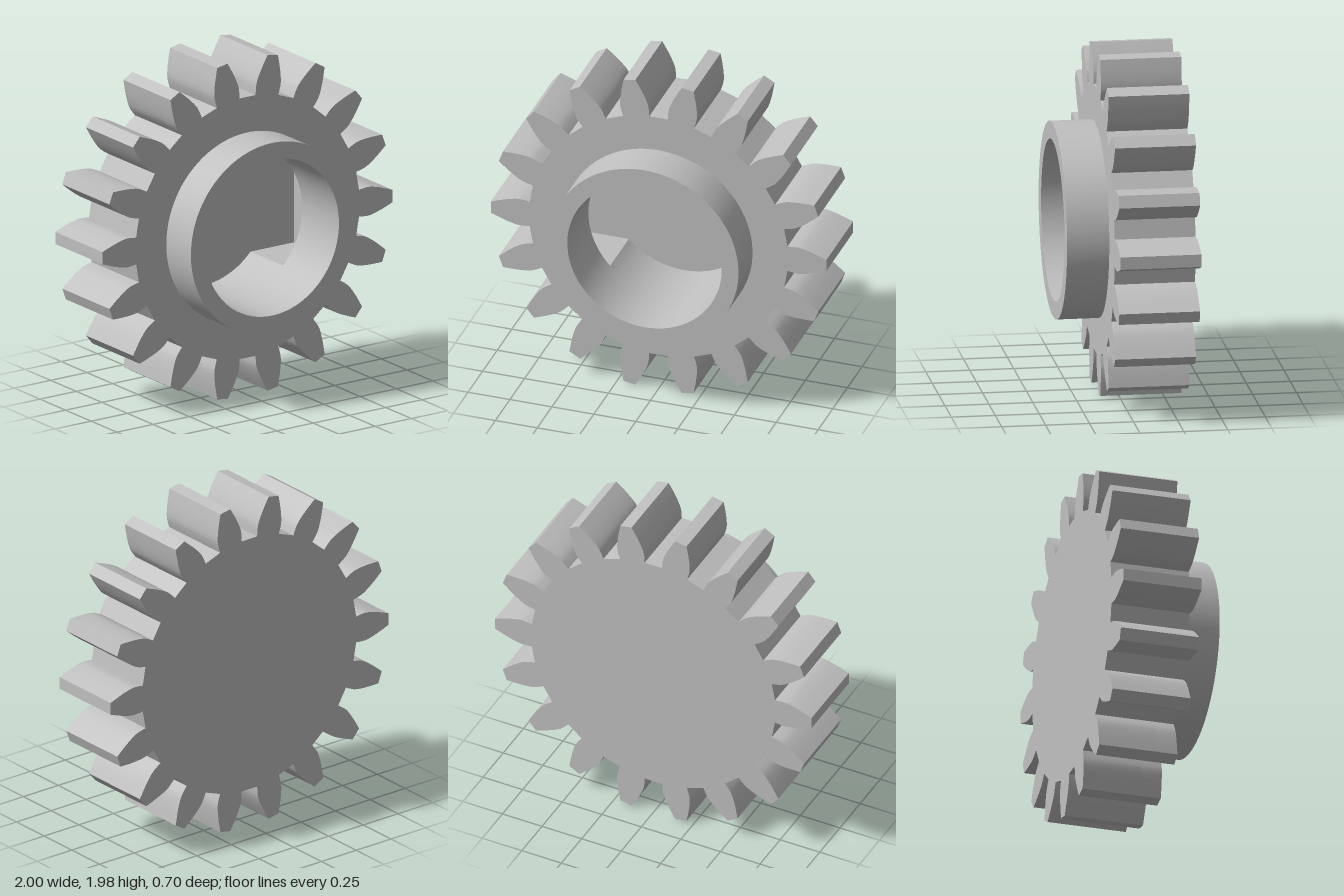
import * as THREE from 'three';
import { toCreasedNormals } from 'three/addons/utils/BufferGeometryUtils.js';

const TEETH = 18, CENTRE_Y = 0.99, BORE = 0.46, HUB = 0.56;

// Outline of the toothed wheel: one rounded flank, mirrored and repeated
function gearShape() {
  const flank = new THREE.SplineCurve([
    [0.768, 0.079], [0.81, 0.084], [0.85, 0.083], [0.92, 0.065], [1, 0.036],
  ].map(([x, y]) => new THREE.Vector2(x, y))).getPoints(10);
  const tooth = [
    ...flank.map(p => new THREE.Vector2(p.x, -p.y)),
    ...flank.slice().reverse(),
  ];
  const origin = new THREE.Vector2();
  const points = [];
  for (let i = 0; i < TEETH; i++) {
    const angle = (i / TEETH) * Math.PI * 2;
    points.push(...tooth.map(p => p.clone().rotateAround(origin, angle)));
  }
  return new THREE.Shape(points);
}

function circle(Type, radius) {
  const path = new Type();
  path.absarc(0, 0, radius, 0, Math.PI * 2, false);
  return path;
}

// Round pocket widened by a cross slot
function slottedPocket() {
  const w = 0.63, h = 0.32, a = Math.asin(h / BORE);
  const path = new THREE.Path();
  path.moveTo(w, -h);
  path.lineTo(w, h);
  path.absarc(0, 0, BORE, a, Math.PI - a, false);
  path.lineTo(-w, h);
  path.lineTo(-w, -h);
  path.absarc(0, 0, BORE, Math.PI + a, Math.PI * 2 - a, false);
  path.lineTo(w, -h);
  return path;
}

export function createModel() {
  const group = new THREE.Group();
  group.name = 'gear';
  const grey = new THREE.MeshStandardMaterial({ color: 0xc0c0c0 });
  grey.name = 'grey';

  function addLayer(name, shape, hole, z0, z1) {
    if (hole) shape.holes.push(hole);
    const geometry = new THREE.ExtrudeGeometry(shape, {
      depth: z1 - z0, bevelEnabled: false, curveSegments: 72,
    });
    const mesh = new THREE.Mesh(toCreasedNormals(geometry, 0.4), grey);
    mesh.name = name;
    mesh.position.set(0, CENTRE_Y, z0);
    group.add(mesh);
  }

  // Wheel layers from back to front, then the raised hub ring
  addLayer('backPlate', gearShape(), null, -0.35, -0.33);
  addLayer('slottedWheel', gearShape(), slottedPocket(), -0.33, -0.01);
  addLayer('frontWheel', gearShape(), circle(THREE.Path, BORE), -0.01, 0.11);
  addLayer('hub', circle(THREE.Shape, HUB), circle(THREE.Path, BORE), 0.11, 0.35);
  return group;
}
